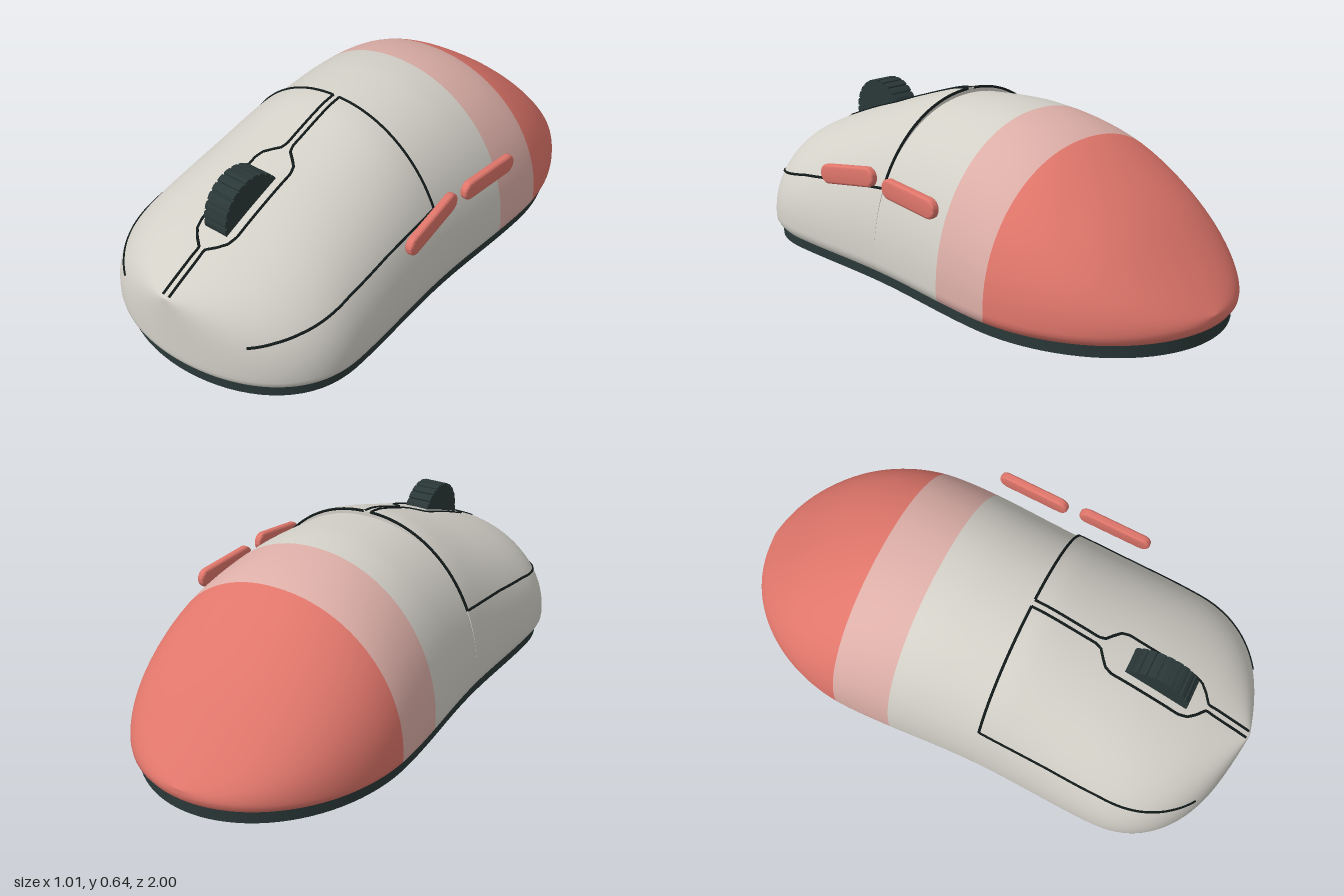
import * as THREE from 'three';
import { toCreasedNormals } from 'three/addons/utils/BufferGeometryUtils.js';

const mat = (name, color, side = THREE.FrontSide) => {
  const m = new THREE.MeshStandardMaterial({ color, side });
  m.name = name;
  return m;
};

const SPLIT = 0.13;    // where the click buttons meet the palm rest
const FRONT = 0.995, BACK = -1;
const BELT = 0.08;     // height of the widest line
const POWER = 2.1;     // roundness of the cross-section

// Half width of the shell along z
function halfWidth(z) {
  const ease = (a, b, t) => a + (b - a) * (0.5 - 0.5 * Math.cos(Math.PI * t));
  if (z < -0.4) return 0.498 * Math.sqrt(Math.max(0, 1 - ((z + 0.4) / 0.6) ** 2));
  if (z < 0.15) return ease(0.498, 0.474, (z + 0.4) / 0.55);
  if (z < 0.6) return ease(0.474, 0.487, (z - 0.15) / 0.45);
  return 0.487 * Math.sqrt(Math.max(0, 1 - ((z - 0.6) / 0.395) ** 2.4));
}

// Smooth curve through [z, height] points
function profile(pts) {
  const slope = (i) => {
    const a = pts[Math.max(0, i - 1)], b = pts[Math.min(pts.length - 1, i + 1)];
    return (b[1] - a[1]) / (b[0] - a[0]);
  };
  return (z) => {
    let i = 0;
    while (i < pts.length - 2 && z > pts[i + 1][0]) i++;
    const [z0, y0] = pts[i], [z1, y1] = pts[i + 1], d = z1 - z0;
    const t = Math.min(1, Math.max(0, (z - z0) / d)), s = 1 - t;
    return y0 * (1 + 2 * t) * s * s + slope(i) * d * t * s * s
      + y1 * t * t * (3 - 2 * t) - slope(i + 1) * d * t * t * s;
  };
}
const palmHeight = profile([[-1, 0.1], [-0.9, 0.21], [-0.75, 0.365], [-0.6, 0.482], [-0.45, 0.57],
  [-0.3, 0.615], [-0.13, 0.634], [0, 0.63], [SPLIT, 0.618]]);
const buttonHeight = profile([[SPLIT, 0.636], [0.2, 0.625], [0.4, 0.56], [0.6, 0.492],
  [0.8, 0.412], [0.9, 0.366], [FRONT, 0.32]]);

// One cross-section, from the lower left side over the top to the lower right
const TUCK = [[0.97, 0.04], [0.988, 0.052], [0.998, 0.066]];
function section(z, h) {
  const w = halfWidth(z), side = TUCK.map(([k, y]) => [w * k, y, z * k]);
  const arc = [];
  for (let j = 0; j <= 48; j++) {
    const a = (Math.PI * j) / 48, c = Math.cos(a), s = Math.max(0, Math.sin(a));
    arc.push([Math.sign(c) * w * Math.abs(c) ** (2 / POWER), BELT + (h - BELT) * s ** (2 / POWER), z]);
  }
  return [...side, ...arc, ...side.map(([x, y, d]) => [-x, y, d]).reverse()];
}

// Skin over cross-sections; bands gives the number of strips for each material
function loft(rings, bands) {
  const n = rings[0].length, index = [], geo = new THREE.BufferGeometry();
  for (let i = 0; i < rings.length - 1; i++) {
    for (let j = 0; j < n - 1; j++) {
      const a = i * n + j, b = a + n;
      index.push(a, a + 1, b, b, a + 1, b + 1);
    }
  }
  geo.setAttribute('position', new THREE.Float32BufferAttribute(rings.flat(2), 3));
  geo.setIndex(index);
  let start = 0;
  bands.forEach((strips, m) => {
    const count = strips * (n - 1) * 6;
    geo.addGroup(start, count, m);
    start += count;
  });
  geo.computeVertexNormals();
  return geo;
}

const steps = (n, f) => Array.from({ length: n + 1 }, (_, i) => f(i / n));

// Evenly subdivide a polyline
function subdivide(pts, n) {
  const out = [pts[0]];
  for (let i = 1; i < pts.length; i++) {
    for (let k = 1; k <= n; k++) out.push(pts[i - 1].map((v, c) => v + ((pts[i][c] - v) * k) / n));
  }
  return out;
}

// Points on the button surface, found from above or from the side
const onTop = ([x, z]) => {
  const k = Math.min(1, x / halfWidth(z));
  return new THREE.Vector3(x, BELT + (buttonHeight(z) - BELT) * (1 - k ** POWER) ** (1 / POWER), z);
};
const onSide = ([z, y]) => {
  const k = (y - BELT) / (buttonHeight(z) - BELT);
  return new THREE.Vector3(halfWidth(z) * (1 - k ** POWER) ** (1 / POWER), y, z);
};

export function createModel() {
  const model = new THREE.Group();
  model.name = 'computerMouse';
  const grey = mat('warmGrey', 0xd3d0c8, THREE.DoubleSide);
  const pink = mat('palePink', 0xdcaea7, THREE.DoubleSide);
  const coral = mat('coral', 0xe0766b, THREE.DoubleSide);
  const dark = mat('darkSlate', 0x2b3838);
  const black = mat('seamBlack', 0x121a1a);

  const body = new THREE.Group();
  body.name = 'body';
  body.position.x = -0.008;
  model.add(body);
  const add = (parent, name, geo, material) => {
    const mesh = new THREE.Mesh(geo, material);
    mesh.name = name;
    parent.add(mesh);
    return mesh;
  };

  // Palm rest: coral tail, pink band, grey middle
  const tailZ = steps(28, (t) => BACK + 0.55 * (1 - Math.cos((t * Math.PI) / 2)));
  const bandZ = steps(8, (t) => -0.45 + 0.23 * t).slice(1);
  const middleZ = steps(12, (t) => -0.22 + (SPLIT + 0.22) * t).slice(1);
  const palm = [...tailZ, ...bandZ, ...middleZ].map((z) => section(z, palmHeight(z)));
  add(body, 'palmRest', loft(palm, [28, 8, 12]), [coral, pink, grey]);

  // Front shell with the two click buttons, a small step above the palm rest
  const frontZ = steps(44, (t) => SPLIT + (FRONT - SPLIT) * Math.sin((t * Math.PI) / 2));
  add(body, 'frontShell', loft(frontZ.map((z) => section(z, buttonHeight(z))), [44]), [grey]);
  const step = [section(SPLIT, palmHeight(SPLIT)), section(SPLIT, buttonHeight(SPLIT))];
  add(body, 'buttonStep', loft(step, [1]), [grey]);

  // Seams around each click button
  const slit = subdivide([[0.013, 0.985], [0.013, 0.815], [0.045, 0.79], [0.068, 0.765], [0.077, 0.735],
    [0.077, 0.465], [0.068, 0.44], [0.045, 0.42], [0.02, 0.4], [0.013, 0.38], [0.013, SPLIT]], 5).map(onTop);
  const side = subdivide([[SPLIT, 0.345], [0.4, 0.315], [0.6, 0.286], [0.8, 0.245], [0.86, 0.23],
    [0.92, 0.211]], 8).map(onSide);
  const cross = steps(30, (t) => {
    const k = side[0].x / halfWidth(SPLIT);
    const a = Math.asin(k) * t;
    return onTop([Math.max(0.013, halfWidth(SPLIT) * Math.sin(a)), SPLIT]);
  }).filter((p, i, all) => i === 0 || p.distanceTo(all[i - 1]) > 0.001);
  for (const sign of [1, -1]) {
    for (const [name, path] of [['centreSeam', slit], ['sideSeam', side], ['crossSeam', cross]]) {
      const pts = path.map((p) => new THREE.Vector3(p.x * sign, p.y, p.z));
      const curve = new THREE.CatmullRomCurve3(pts);
      add(body, name, new THREE.TubeGeometry(curve, pts.length * 2, 0.005, 6), black);
    }
  }

  // Flat base following the outline
  const rim = steps(64, (t) => -Math.cos(t * Math.PI))
    .map((c) => c * 0.9975 - 0.0025)
    .map((z) => [halfWidth(z) * 0.96, z * 0.977]);
  const outline = [...rim, ...rim.slice(1, -1).reverse().map(([x, z]) => [-x, z])];
  const baseShape = new THREE.Shape(outline.map(([x, z]) => new THREE.Vector2(x, z)));
  const base = new THREE.ExtrudeGeometry(baseShape, { depth: 0.046, bevelEnabled: false });
  base.rotateX(Math.PI / 2).translate(0, 0.046, 0);
  add(body, 'base', toCreasedNormals(base, 0.6), dark);

  // Ribbed scroll wheel
  const teeth = 24, gear = [];
  for (let i = 0; i < teeth; i++) {
    for (const [f, r] of [[0, 0.131], [0.38, 0.132], [0.76, 0.131], [0.8, 0.124], [0.96, 0.124]]) {
      const a = ((i + f) / teeth) * Math.PI * 2;
      gear.push(new THREE.Vector2(Math.cos(a) * r, Math.sin(a) * r));
    }
  }
  const wheel = new THREE.ExtrudeGeometry(new THREE.Shape(gear), { depth: 0.094, bevelEnabled: false });
  wheel.translate(0, 0, -0.047).rotateY(Math.PI / 2);
  add(body, 'scrollWheel', wheel, dark).position.set(0, 0.458, 0.62);

  // Two pill-shaped thumb buttons on the left side
  const r = 0.027, half = 0.108;
  const pill = new THREE.Shape();
  pill.absarc(half, 0, r, -Math.PI / 2, Math.PI / 2);
  pill.absarc(-half, 0, r, Math.PI / 2, Math.PI * 1.5);
  const thumb = toCreasedNormals(new THREE.ExtrudeGeometry(pill, {
    depth: 0.012, bevelThickness: 0.009, bevelSize: 0.009, bevelSegments: 3, curveSegments: 10,
  }).translate(0, 0, -0.006).rotateY(Math.PI / 2), 0.7);
  for (const [name, x, y, z, pitch, yaw] of [
    ['frontThumbButton', 0.483, 0.385, 0.24, 0.165, 0.045],
    ['rearThumbButton', 0.485, 0.383, -0.096, -0.045, -0.055],
  ]) {
    const button = add(model, name, thumb, coral);
    button.position.set(x, y, z);
    button.rotation.set(pitch, yaw, 0);
  }
  return model;
}
